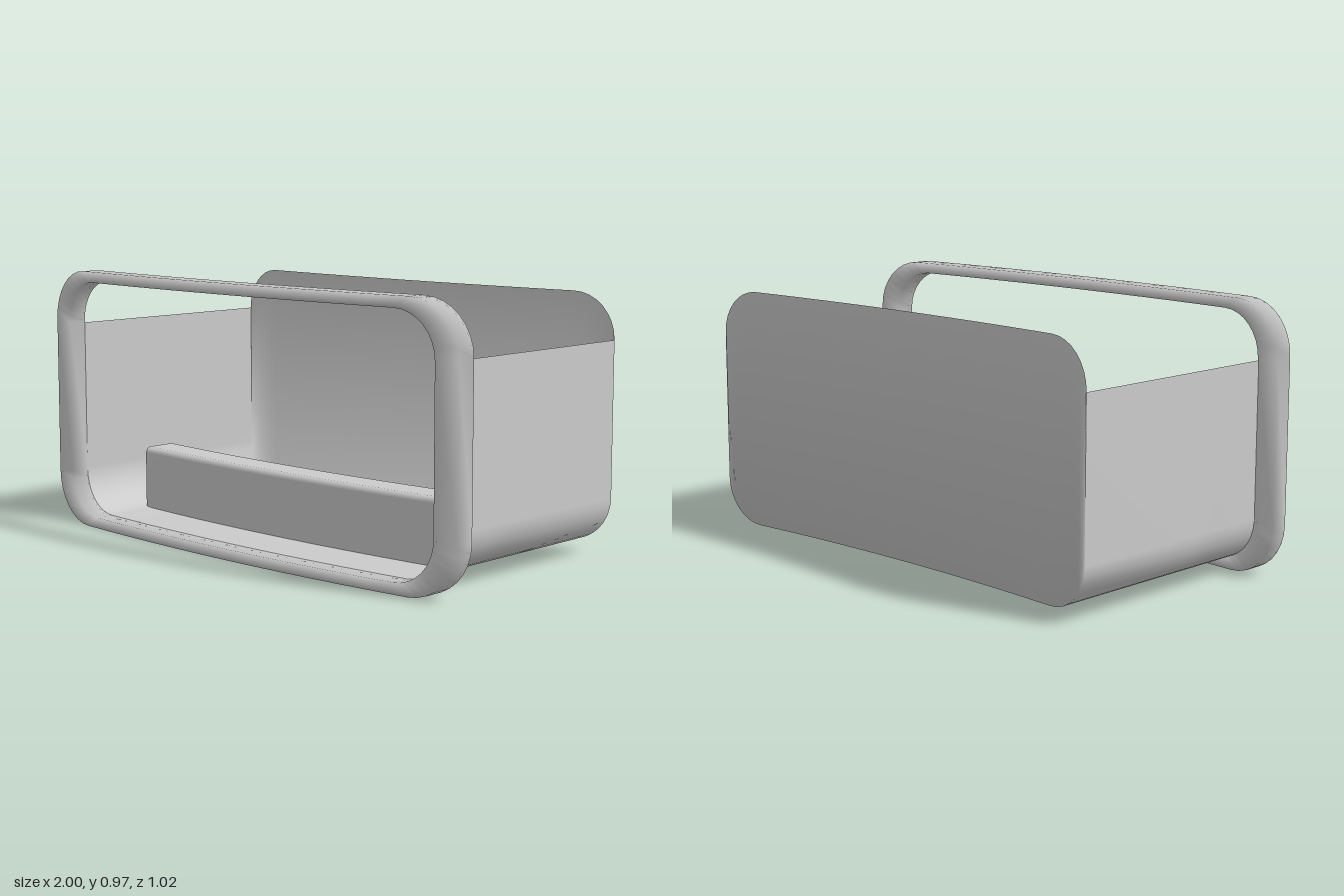
import * as THREE from 'three';
import { mergeVertices } from 'three/addons/utils/BufferGeometryUtils.js';

const material = new THREE.MeshStandardMaterial({ color: 0xcccccc, side: THREE.DoubleSide });
const CORNER = 8; // segments per rounded corner

// Everything follows one shallow bow in plan; the depth axis leans slightly in x
const bow = (x, y, z, lean = 0.023) => [x + lean * (z - 0.4), y, z - 0.06 * (x + 0.2) ** 2];

// Collects quads and welds them into a smooth surface
function surface(name, build) {
  const pos = [];
  build((a, b, c, d) => pos.push(...a, ...b, ...c, ...a, ...c, ...d));
  let geo = new THREE.BufferGeometry();
  geo.setAttribute('position', new THREE.Float32BufferAttribute(pos, 3));
  geo = mergeVertices(geo, 1e-4);
  geo.computeVertexNormals();
  const mesh = new THREE.Mesh(geo, material);
  mesh.name = name;
  return mesh;
}

// Closed rounded rectangle, counter-clockwise, with subdivided long edges
function roundedLoop(hw, y0, y1, r) {
  const pts = [];
  const corners = [[hw - r, y1 - r], [r - hw, y1 - r], [r - hw, y0 + r], [hw - r, y0 + r]];
  corners.forEach(([cx, cy], k) => {
    for (let i = 0; i <= CORNER; i++) {
      const a = (k + i / CORNER) * Math.PI / 2;
      pts.push([cx + r * Math.cos(a), cy + r * Math.sin(a)]);
    }
    if (k % 2 === 0) {
      for (let i = 1; i < 12; i++) {
        const x = cx * (1 - i / 6);
        pts.push([x, k === 0 ? y1 : y0]);
      }
    }
  });
  return pts;
}

// Front rim: square section swept round the opening
function makeRim() {
  const outer = roundedLoop(1, 0, 0.97, 0.19);
  const inner = roundedLoop(0.91, 0.04, 0.93, 0.16);
  return surface('frontRim', quad => {
    const section = i => {
      const k = i % outer.length;
      return [[outer, 0.44], [outer, 0.51], [inner, 0.51], [inner, 0.44]]
        .map(([loop, z]) => bow(...loop[k], z, 0));
    };
    for (let i = 0; i < outer.length; i++) {
      const a = section(i), b = section(i + 1);
      for (let j = 0; j < 4; j++) {
        const n = (j + 1) % 4;
        quad(a[j], b[j], b[n], a[n]);
      }
    }
  });
}

// Tray outline
const HW = 0.915, R = 0.165, Y0 = 0.04, Y1 = 0.93;
const columns = [];
for (let i = 0; i <= CORNER; i++) {
  const a = i / CORNER * Math.PI / 2;
  columns.push([R - HW - R * Math.cos(a), Y0 + R - R * Math.sin(a)]);
}
for (let i = 1; i < 12; i++) columns.push([(R - HW) * (1 - i / 6), Y0]);
columns.push([0.74, Y0]);
for (let i = 0; i <= CORNER; i++) {
  const a = i / CORNER * Math.PI / 2;
  columns.push([HW - R + R * Math.sin(a), Y0 + R - R * Math.cos(a)]);
}
const ridgeColumns = columns.filter(([x]) => x > -0.8 && x < 0.745);
const inRidge = x => x > ridgeColumns[0][0] && x < 0.74;

// Tray: low sides, rounded floor with a slot under the ridge, tall back
function makeTray() {
  const rows = [-0.44, 0.10, 0.24, 0.44];
  const path = [[-HW, Y1 - R], ...columns, [HW, Y1 - R]];
  return surface('tray', quad => {
    for (let i = 0; i < path.length - 1; i++) {
      const p = path[i], q = path[i + 1];
      for (let j = 0; j < 3; j++) {
        if (j === 1 && inRidge((p[0] + q[0]) / 2)) continue;
        quad(bow(...p, rows[j]), bow(...q, rows[j]), bow(...q, rows[j + 1]), bow(...p, rows[j + 1]));
      }
    }
    // back panel, one upright strip per column
    const top = ([x, y]) => [x, Y0 + Y1 - y];
    for (let i = 0; i < columns.length - 1; i++) {
      const p = columns[i], q = columns[i + 1], z = rows[0];
      quad(bow(...p, z), bow(...top(p), z), bow(...top(q), z), bow(...q, z));
    }
  });
}

// Raised ridge across the floor, hollow underneath
function makeRidge() {
  const group = new THREE.Group();
  group.name = 'floorRidge';
  const section = ([x, y]) => [
    [0.24, y], [0.24, 0.255], [0.234, 0.269], [0.22, 0.275],
    [0.11, 0.275], [0.10, 0.268], [0.10, y],
  ].map(([z, h]) => bow(x, h, z));

  group.add(surface('ridgeWall', quad => {
    for (let i = 0; i < ridgeColumns.length - 1; i++) {
      const a = section(ridgeColumns[i]), b = section(ridgeColumns[i + 1]);
      for (let j = 0; j < a.length - 1; j++) quad(a[j], b[j], b[j + 1], a[j + 1]);
    }
  }));
  for (const [name, col, flip] of [['ridgeRightEnd', ridgeColumns[0], true],
    ['ridgeLeftEnd', ridgeColumns[ridgeColumns.length - 1], false]]) {
    const s = section(col);
    group.add(surface(name, quad => {
      const faces = [[0, 1, 5, 6], [1, 2, 4, 5], [2, 3, 4, 4]];
      for (const f of faces) quad(...(flip ? [...f].reverse() : f).map(k => s[k]));
    }));
  }
  return group;
}

export function createModel() {
  const model = new THREE.Group();
  model.name = 'openBin';
  model.add(makeRim(), makeTray(), makeRidge());
  return model;
}
